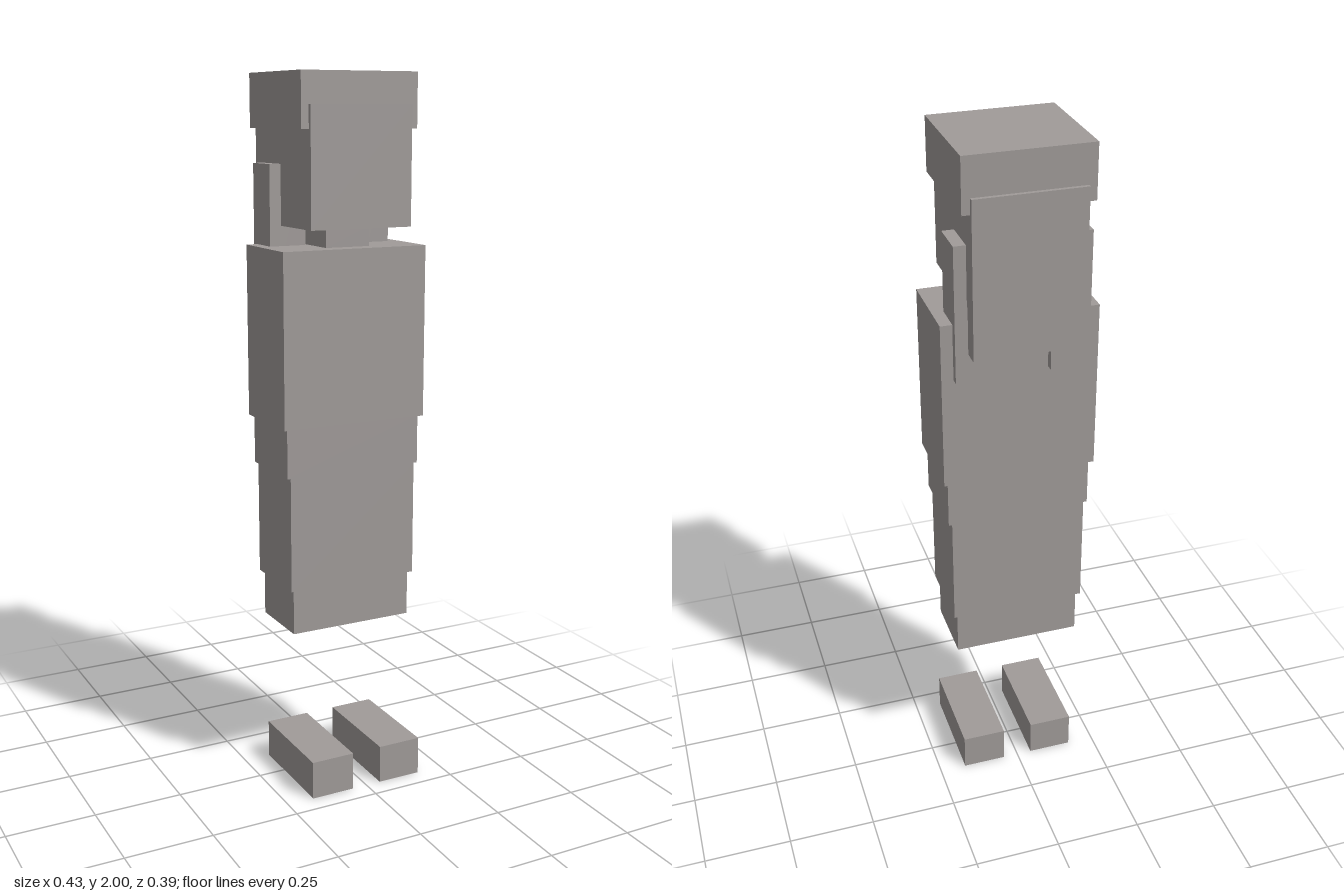
import * as THREE from 'three';

export function createModel() {
  const model = new THREE.Group();
  const warmGrey = new THREE.MeshStandardMaterial({ color: 0xa09b99 });
  warmGrey.name = 'warmGrey';

  // Box given by its lower and upper limit on each axis
  function block(name, [x0, x1], [y0, y1], [z0, z1]) {
    const mesh = new THREE.Mesh(new THREE.BoxGeometry(x1 - x0, y1 - y0, z1 - z0), warmGrey);
    mesh.position.set((x0 + x1) / 2, (y0 + y1) / 2, (z0 + z1) / 2);
    mesh.name = name;
    model.add(mesh);
  }
  const centred = (name, halfWidth, y, z) => block(name, [-halfWidth, halfWidth], y, z);

  // Body, from the skirt hem up to the neck
  centred('skirtHem', 0.183, [0.465, 0.595], [-0.098, 0.098]);
  centred('skirt', 0.194, [0.595, 0.922], [-0.108, 0.108]);
  centred('waist', 0.204, [0.922, 1.06], [-0.109, 0.109]);
  centred('torso', 0.216, [1.06, 1.54], [-0.119, 0.119]);
  centred('neck', 0.066, [1.54, 1.595], [-0.07, 0.07]);

  // Head and hair
  centred('head', 0.15, [1.595, 1.915], [-0.15, 0.151]);
  centred('hairCap', 0.172, [1.853, 2], [-0.184, 0.14]);
  centred('backHair', 0.15, [1.465, 1.895], [-0.195, -0.147]);

  // Hair strands and shoes, mirrored left and right
  for (const [side, s] of [['left', 1], ['right', -1]]) {
    const span = (a, b) => (s > 0 ? [a, b] : [-b, -a]);
    block(side + 'HairStrand', span(0.076, 0.183), [1.382, 1.76], [-0.141, -0.034]);
    block(side + 'Shoe', span(0.044, 0.172), [0, 0.11], [-0.108, 0.194]);
  }
  return model;
}
